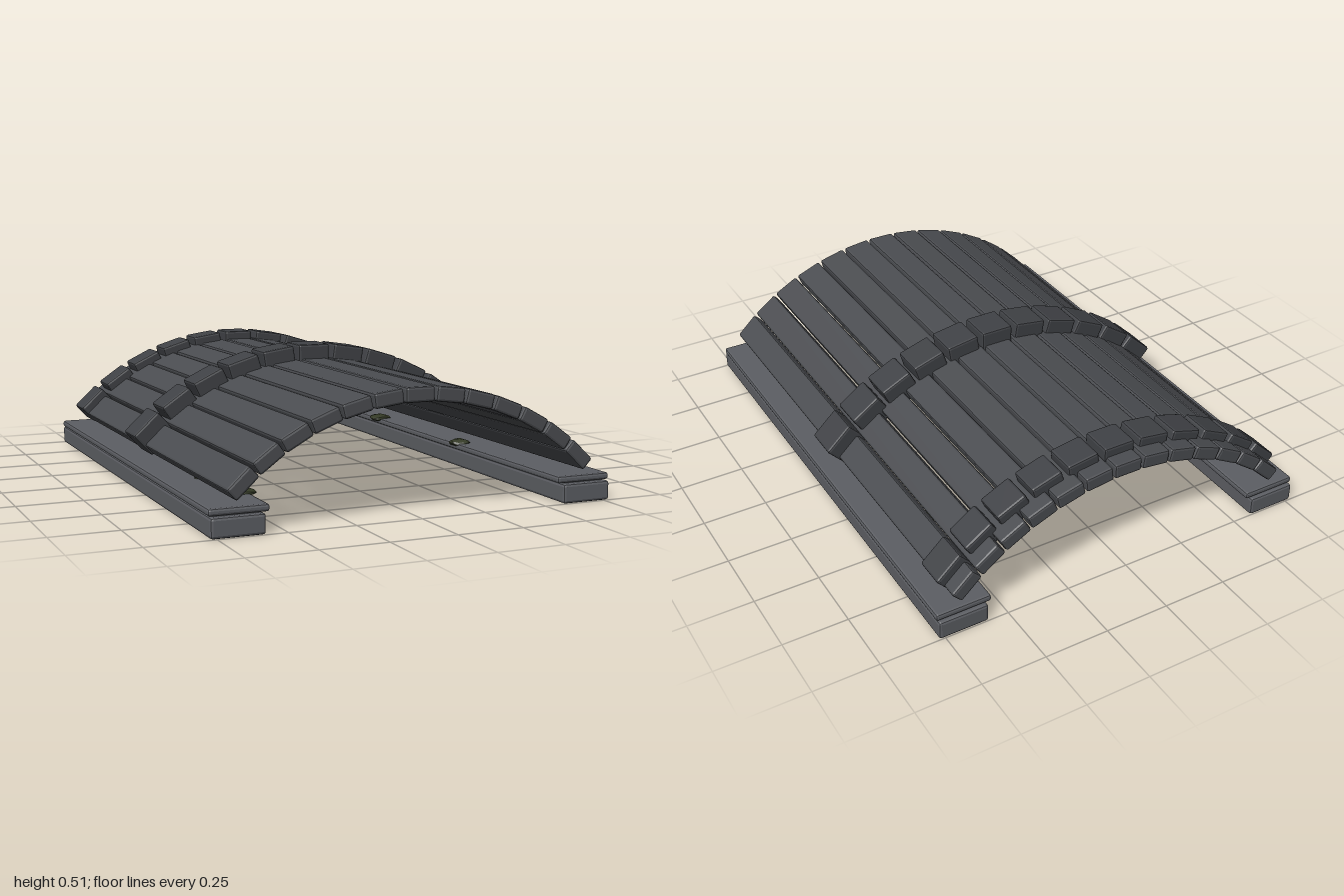
import * as THREE from 'three';
import { RoundedBoxGeometry } from 'three/addons/geometries/RoundedBoxGeometry.js';

const material = (color) => new THREE.MeshStandardMaterial({ color, flatShading: true });
const plankMat = material(0x4b4d51);
const ribMat = material(0x404246);
const sillMat = material(0x5c5e63);
const bossMat = material(0x5c5e63);
const mossMat = material(0x343a26);

const ARCH_CENTRE_Y = -0.52;

// Chamfered box centred at a point
function block(name, w, h, d, mat, x, y, z, bevel = 0.009) {
  const mesh = new THREE.Mesh(new RoundedBoxGeometry(w, h, d, 1, bevel), mat);
  mesh.name = name;
  mesh.position.set(x, y, z);
  return mesh;
}

// Row of identical blocks laid along the arch, symmetric about the crown
function archRow(name, part, radius, perSide, stepDeg, [w, h, d], z, mat) {
  const row = new THREE.Group();
  row.name = name;
  for (let i = -perSide; i <= perSide; i++) {
    const a = THREE.MathUtils.degToRad(i * stepDeg);
    const mesh = block(part, w, h, d, mat,
      radius * Math.sin(a), ARCH_CENTRE_Y + radius * Math.cos(a), z);
    mesh.rotation.z = -a;
    row.add(mesh);
  }
  return row;
}

// Flat ragged clump: a faceted ball squashed and roughened by a wave rule
function mossClump(x, y, z, rx, ry, rz, phase) {
  const geo = new THREE.IcosahedronGeometry(1, 1);
  const p = geo.attributes.position;
  for (let i = 0; i < p.count; i++) {
    const a = Math.atan2(p.getZ(i), p.getX(i));
    const k = 0.88 + 0.12 * Math.sin(3 * a + phase) * Math.cos(2 * p.getY(i) + phase);
    p.setXYZ(i, p.getX(i) * k * rx, p.getY(i) * k * ry, p.getZ(i) * k * rz);
  }
  geo.computeVertexNormals();
  const mesh = new THREE.Mesh(geo, mossMat);
  mesh.name = 'mossClump';
  mesh.position.set(x, y, z);
  return mesh;
}

export function createModel() {
  const model = new THREE.Group();
  model.name = 'vaultedRoof';

  // Long vault planks
  model.add(archRow('vaultPlanks', 'plank', 0.95, 6, 7.2, [0.112, 0.055, 1.96], 0, plankMat));

  // Raised ribs: one at mid-length, a thinner one near the back
  model.add(archRow('middleRib', 'ribBlock', 0.98, 5, 8.6, [0.133, 0.11, 0.14], 0, ribMat));
  model.add(archRow('backRib', 'ribBlock', 0.97, 5, 8.6, [0.126, 0.085, 0.125], -0.857, ribMat));

  // Side sills with an overhanging cap
  for (const side of [1, -1]) {
    const sill = new THREE.Group();
    sill.name = side > 0 ? 'leftSill' : 'rightSill';
    sill.add(
      block('sillBase', 0.195, 0.072, 2, sillMat, side * 0.675, 0.036, 0, 0.01),
      block('sillCap', 0.217, 0.026, 1.975, sillMat, side * 0.668, 0.087, 0, 0.009),
      block('sillJoint', 0.17, 0.02, 1.95, sillMat, side * 0.672, 0.073, 0, 0.004),
    );
    model.add(sill);
  }

  // Faceted boss hanging under the crown
  const profile = [[0, 0.305], [0.04, 0.307], [0.074, 0.335], [0.08, 0.36], [0.05, 0.38], [0, 0.385]]
    .map(([r, y]) => new THREE.Vector2(r, y));
  const boss = new THREE.Mesh(new THREE.LatheGeometry(profile, 8), bossMat);
  boss.name = 'crownBoss';
  model.add(boss, mossClump(0, 0.372, 0, 0.092, 0.02, 0.09, 1));

  // Moss along the inner edges of the sills
  const moss = [[-0.585, 0.77, 0.06], [-0.59, 0.49, 0.07], [-0.57, -0.25, 0.05],
    [0.585, 0.22, 0.05], [0.575, -0.5, 0.055], [0.585, -0.76, 0.05]];
  moss.forEach(([x, z, r], i) => model.add(mossClump(x, 0.1, z, r, 0.018, r, i * 1.7)));

  return model;
}
